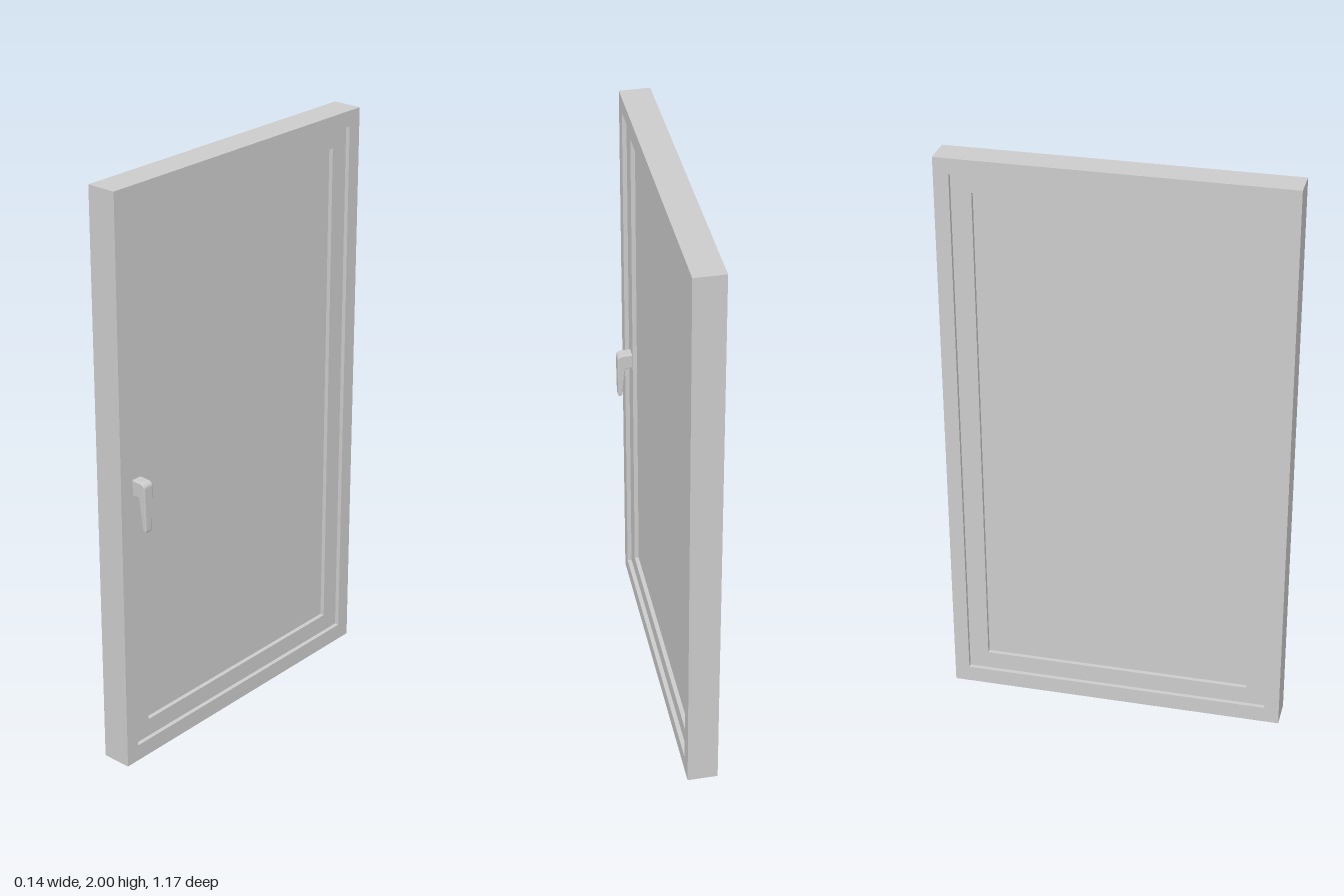
import * as THREE from 'three';

const material = new THREE.MeshStandardMaterial({ color: 0xcccccc });

function addMesh(group, name, geometry) {
  const mesh = new THREE.Mesh(geometry, material);
  mesh.name = name;
  group.add(mesh);
  return mesh;
}

function traceRect(path, halfWidth, y0, y1) {
  path.moveTo(-halfWidth, y0);
  path.lineTo(halfWidth, y0);
  path.lineTo(halfWidth, y1);
  path.lineTo(-halfWidth, y1);
  path.closePath();
  return path;
}

// Rectangular ring in the zy plane, extruded from x0 to x1
function ringGeometry(outer, inner, x0, x1) {
  const shape = traceRect(new THREE.Shape(), ...outer);
  shape.holes.push(traceRect(new THREE.Path(), ...inner));
  const geometry = new THREE.ExtrudeGeometry(shape, { depth: x1 - x0, bevelEnabled: false });
  geometry.rotateY(Math.PI / 2);
  geometry.translate(x0, 0, 0);
  return geometry;
}

// Lever handle: bevelled side profile, narrowed towards the tip
function handleGeometry() {
  const bevel = 0.004;
  const depth = 0.032;
  const profile = new THREE.Shape();
  profile.moveTo(0.012, 1.026);
  profile.lineTo(0.05, 1.025);
  profile.quadraticCurveTo(0.066, 1.023, 0.066, 1.012);
  profile.lineTo(0.065, 0.862);
  profile.quadraticCurveTo(0.061, 0.853, 0.057, 0.862);
  profile.lineTo(0.048, 0.955);
  profile.quadraticCurveTo(0.047, 0.974, 0.036, 0.976);
  profile.lineTo(0.012, 0.976);
  profile.closePath();
  const geometry = new THREE.ExtrudeGeometry(profile, {
    depth, bevelEnabled: true, bevelSize: bevel, bevelThickness: bevel, bevelSegments: 2, curveSegments: 6,
  });
  geometry.translate(0, 0, -depth / 2);
  const p = geometry.attributes.position;
  for (let i = 0; i < p.count; i++) {
    const t = THREE.MathUtils.clamp((p.getY(i) - 0.855) / 0.165, 0, 1);
    p.setZ(i, p.getZ(i) * THREE.MathUtils.lerp(0.68, 1, t));
  }
  geometry.computeVertexNormals();
  return geometry;
}

export function createModel() {
  const group = new THREE.Group();
  group.name = 'window';

  const outer = [0.583, 0, 2];
  const opening = [0.532, 0.058, 1.947];
  const paneEdge = [0.464, 0.122, 1.884];

  // Fixed frame, sash set back on both faces, pane set back further
  addMesh(group, 'outerFrame', ringGeometry(outer, opening, -0.07, 0.034));
  addMesh(group, 'sash', ringGeometry(opening, paneEdge, -0.055, 0.019));

  const [half, y0, y1] = paneEdge;
  const pane = addMesh(group, 'pane', new THREE.BoxGeometry(0.044, y1 - y0, half * 2));
  pane.position.set(-0.018, (y0 + y1) / 2, 0);

  const handle = addMesh(group, 'handle', handleGeometry());
  handle.position.z = 0.496;

  return group;
}
